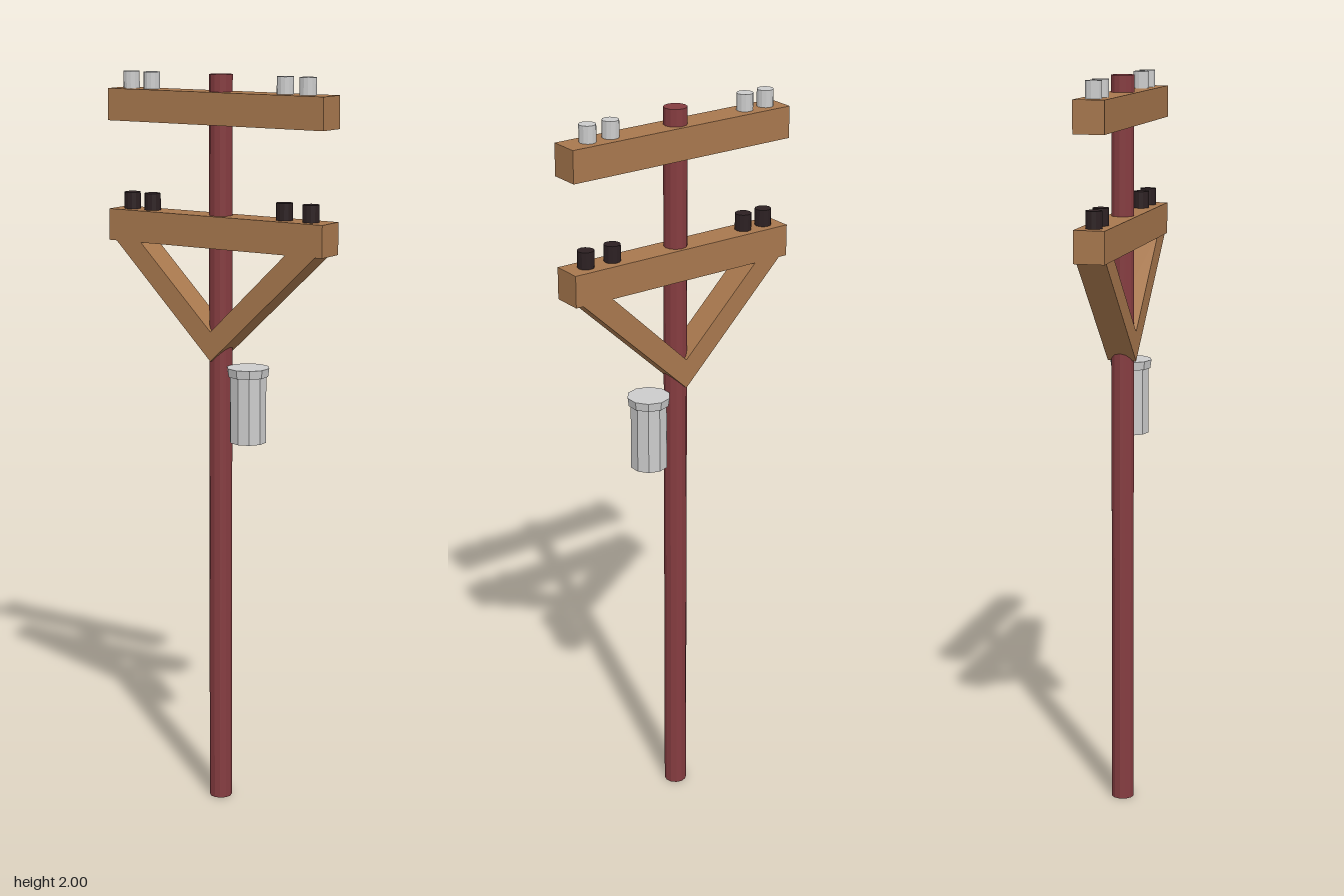
import * as THREE from 'three';

const material = (color) => new THREE.MeshStandardMaterial({ color, flatShading: true });

export function createModel() {
  const model = new THREE.Group();
  const wood = material(0xa8784e);
  const poleRed = material(0x853c40);
  const dark = material(0x2c2022);
  const grey = material(0xcccccc);

  const add = (parent, name, geometry, mat, x = 0, y = 0, z = 0) => {
    const mesh = new THREE.Mesh(geometry, mat);
    mesh.name = name;
    mesh.position.set(x, y, z);
    parent.add(mesh);
    return mesh;
  };

  // Upright cylinder spanning bottom..top
  const column = (parent, name, mat, radius, bottom, top, x, sides) =>
    add(parent, name, new THREE.CylinderGeometry(radius, radius, top - bottom, sides),
      mat, x, (bottom + top) / 2);

  // Pole
  column(model, 'pole', poleRed, 0.031, 0, 2, 0, 12);

  // Crossarms with their insulators
  const crossarm = (name, bottom, top, insulatorXs, insulatorMat) => {
    const group = new THREE.Group();
    group.name = name;
    add(group, 'beam', new THREE.BoxGeometry(0.67, top - bottom, 0.082), wood, 0, (top + bottom) / 2);
    for (const x of insulatorXs) {
      column(group, 'insulator', insulatorMat, 0.022, top - 0.01, top + 0.045, x, 12);
    }
    model.add(group);
  };
  crossarm('upperCrossarm', 1.87, 1.955, [-0.286, -0.22, 0.197, 0.265], grey);
  crossarm('lowerCrossarm', 1.548, 1.633, [-0.286, -0.22, 0.197, 0.277], dark);

  // V-shaped brace under the lower crossarm, its ends sunk into the beam
  const vee = new THREE.Shape([
    [-0.325, 1.56], [-0.008, 1.245], [0.326, 1.56],
    [0.236, 1.56], [-0.008, 1.325], [-0.245, 1.56],
  ].map(([x, y]) => new THREE.Vector2(x, y)));
  const depth = 0.078;
  add(model, 'brace', new THREE.ExtrudeGeometry(vee, { depth, bevelEnabled: false }),
    wood, 0, 0, -depth / 2);

  // Transformer can with an overhanging lid
  const transformer = new THREE.Group();
  transformer.name = 'transformer';
  column(transformer, 'can', grey, 0.05, 1.03, 1.215, 0.087, 10);
  add(transformer, 'lid', new THREE.CylinderGeometry(0.058, 0.055, 0.023, 10), grey, 0.087, 1.2215);
  model.add(transformer);

  return model;
}
